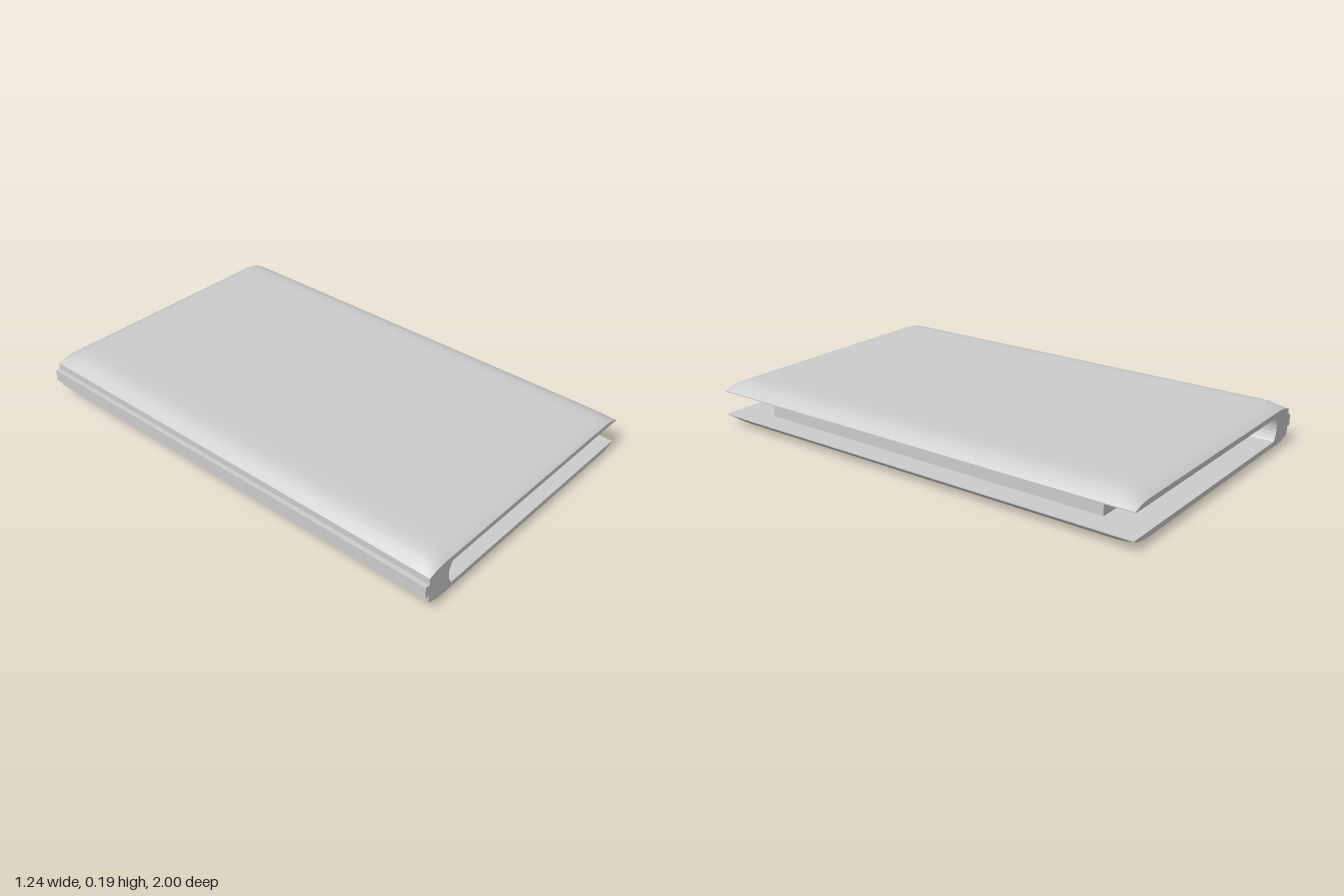
import * as THREE from 'three';

const material = new THREE.MeshStandardMaterial({ color: 0xcccccc });
const MID = 0.0975; // height of the middle plane
const GAP = 0.05; // half the distance between the covers

function addMesh(parent, name, geometry, x = 0, y = 0, z = 0) {
  const mesh = new THREE.Mesh(geometry, material);
  mesh.name = name;
  mesh.position.set(x, y, z);
  parent.add(mesh);
  return mesh;
}

// Rounded rise from 0 at the border to 1 at the given inset
function rise(distance, inset) {
  const t = Math.min(Math.max(distance / inset, 0), 1);
  return 1 - (1 - t) ** 2;
}

// Spread grid lines so that most lie near the two borders
function crowd(u) {
  return Math.sign(u) * (1 - (1 - Math.abs(u)) ** 2.2);
}

// Flat inside, pillowed outside
function coverGeometry() {
  const halfX = 0.61, halfZ = 1;
  const geometry = new THREE.BoxGeometry(2, 1, 2, 24, 1, 28);
  const p = geometry.attributes.position;
  for (let i = 0; i < p.count; i++) {
    const x = crowd(p.getX(i)) * halfX;
    const z = crowd(p.getZ(i)) * halfZ;
    const sides = rise(halfX - Math.abs(x), 0.085);
    const ends = 0.4 + 0.6 * rise(halfZ - Math.abs(z), 0.085);
    const y = p.getY(i) > 0 ? 0.004 + 0.0435 * sides * ends : 0;
    p.setXYZ(i, x, y, z);
  }
  geometry.computeVertexNormals();
  return geometry;
}

// Spine bar with a hollow inner face
function spineGeometry() {
  const shape = new THREE.Shape();
  shape.moveTo(-0.6, -GAP - 0.004);
  shape.lineTo(-0.47, -GAP - 0.004);
  shape.quadraticCurveTo(-0.512, 0, -0.47, GAP + 0.004);
  shape.lineTo(-0.6, GAP + 0.004);
  shape.closePath();
  const geometry = new THREE.ExtrudeGeometry(shape, { depth: 2, bevelEnabled: false, curveSegments: 8 });
  return geometry.translate(0, 0, -1);
}

export function createModel() {
  const book = new THREE.Group();
  book.name = 'book';

  // Covers
  const cover = coverGeometry();
  addMesh(book, 'topCover', cover, 0.01, MID + GAP, 0);
  addMesh(book, 'bottomCover', cover, 0.01, MID - GAP, 0).rotation.x = Math.PI;

  // Spine and the raised rib along it
  addMesh(book, 'spine', spineGeometry(), 0, MID, 0);
  addMesh(book, 'spineRib', new THREE.BoxGeometry(0.04, 0.05, 2), -0.6, MID + 0.002, 0);

  // Page block, set back from the cover edges
  addMesh(book, 'pages', new THREE.BoxGeometry(1.01, 2 * GAP, 1.64), 0.015, MID, 0);

  return book;
}
